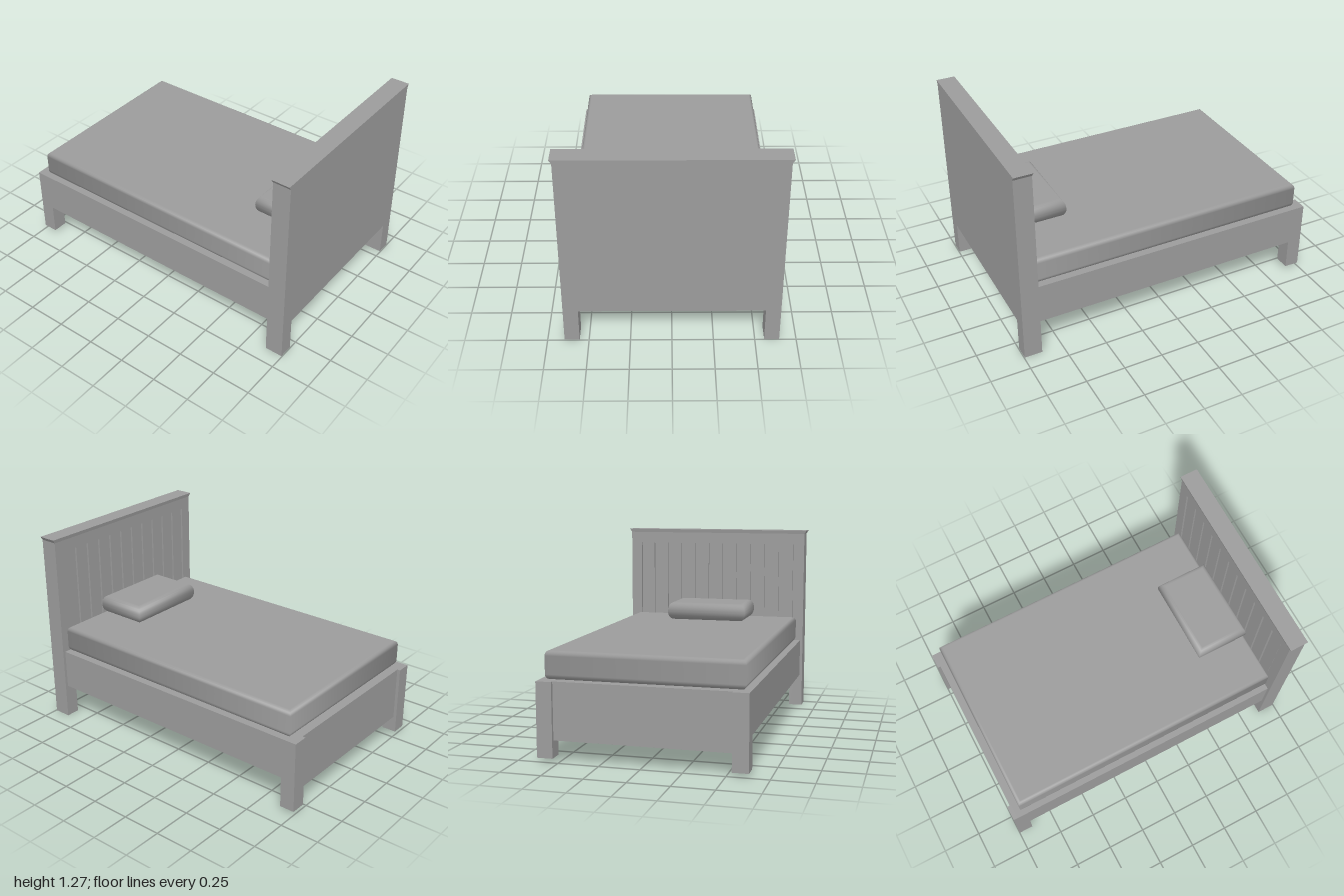
import * as THREE from 'three';

const grey = new THREE.MeshStandardMaterial({ color: 0x9c9c9c, side: THREE.DoubleSide });

function add(group, name, geometry) {
  const mesh = new THREE.Mesh(geometry, grey);
  mesh.name = name;
  group.add(mesh);
  return mesh;
}

// Box given by its limits on each axis; openBottom drops the underside
function box(group, name, [x0, x1], [y0, y1], [z0, z1], openBottom = false) {
  const geo = new THREE.BoxGeometry(x1 - x0, y1 - y0, z1 - z0);
  geo.translate((x0 + x1) / 2, (y0 + y1) / 2, (z0 + z1) / 2);
  if (openBottom) {
    const index = Array.from(geo.index.array);
    index.splice(18, 6);
    geo.clearGroups();
    geo.setIndex(index);
  }
  return add(group, name, geo);
}

// Soft block: stacked rectangles whose inset follows a rounded edge, smooth all over
function cushion(group, name, [x0, x1], [y0, y1], [z0, z1], rx, ry, steps = 6) {
  const pos = [], normal = [], index = [];
  const corners = [[-1, -1], [-1, 1], [1, 1], [1, -1]];
  for (const side of [-1, 1]) {
    for (let i = 0; i <= steps; i++) {
      // angle above the horizontal: lower half runs -90..0, upper half 0..90
      const a = ((side < 0 ? i - steps : i) / steps) * Math.PI / 2;
      const y = (side < 0 ? y0 + ry : y1 - ry) + ry * Math.sin(a);
      const inset = rx * (1 - Math.cos(a));
      const flat = Math.cos(a) * Math.SQRT1_2;
      for (const [sx, sz] of corners) {
        pos.push(sx < 0 ? x0 + inset : x1 - inset, y, sz < 0 ? z0 + inset : z1 - inset);
        normal.push(sx * flat, Math.sin(a), sz * flat);
      }
    }
  }
  const t = pos.length / 3 - 4;
  for (let r = 0; r < t; r += 4) {
    for (let k = 0; k < 4; k++) {
      const a = r + k, b = r + (k + 1) % 4;
      index.push(a, b, b + 4, a, b + 4, a + 4);
    }
  }
  index.push(0, 2, 1, 0, 3, 2, t, t + 1, t + 2, t, t + 2, t + 3);
  const geo = new THREE.BufferGeometry();
  geo.setAttribute('position', new THREE.Float32BufferAttribute(pos, 3));
  geo.setAttribute('normal', new THREE.Float32BufferAttribute(normal, 3));
  geo.setIndex(index);
  return add(group, name, geo);
}

export function createModel() {
  const bed = new THREE.Group();
  bed.name = 'bed';

  // Frame and footboard
  const frame = new THREE.Group();
  frame.name = 'frame';
  bed.add(frame);
  box(frame, 'base', [-0.975, 0.985], [0.223, 0.48], [-0.63, 0.63]);
  box(frame, 'footboard', [-0.98, -0.905], [0.13, 0.48], [-0.533, 0.533]);

  // Headboard with a shallow plank panel
  const head = new THREE.Group();
  head.name = 'headboard';
  bed.add(head);
  const front = 0.882, back = 0.996, inner = 0.573;
  box(head, 'backPanel', [0.905, back], [0.223, 1.252], [-0.557, 0.557]);
  box(head, 'topRail', [front, 0.99], [1.175, 1.252], [-inner, inner]);
  const planks = 11, pitch = 2 * inner / planks, gap = 0.012;
  for (let i = 0; i < planks; i++) {
    const z = -inner + i * pitch;
    box(head, 'plank', [0.889, 0.92], [0.48, 1.175], [z + gap / 2, z + pitch - gap / 2]);
  }

  // Crown moulding, flared at the front and both ends
  const crown = box(head, 'crown', [front, back], [1.252, 1.275], [-0.648, 0.648]);
  const p = crown.geometry.attributes.position;
  for (let i = 0; i < p.count; i++) {
    if (p.getY(i) < 1.26) continue;
    if (p.getX(i) < 0.93) p.setX(i, 0.878);
    p.setZ(i, Math.sign(p.getZ(i)) * 0.663);
  }
  crown.geometry.computeVertexNormals();

  // Corner legs and posts, mirrored left and right
  for (const s of [-1, 1]) {
    const span = (a, b) => (s > 0 ? [a, b] : [-b, -a]);
    box(frame, 'footLeg', [-1, -0.905], [0.025, 0.48], span(0.533, 0.63), true);
    box(head, 'headPostLower', [front, back], [0, 0.48], span(0.557, 0.648), true);
    box(head, 'headPostUpper', [front, back], [0.48, 1.252], span(inner, 0.648));
    box(head, 'postFiller', [0.905, back], [0.48, 1.252], span(0.557, inner));
  }

  // Bedding
  cushion(bed, 'mattress', [-0.935, 0.882], [0.48, 0.65], [-0.597, 0.597], 0.022, 0.03);
  cushion(bed, 'pillow', [0.53, 0.88], [0.65, 0.77], [-0.27, 0.287], 0.035, 0.058);

  return bed;
}
